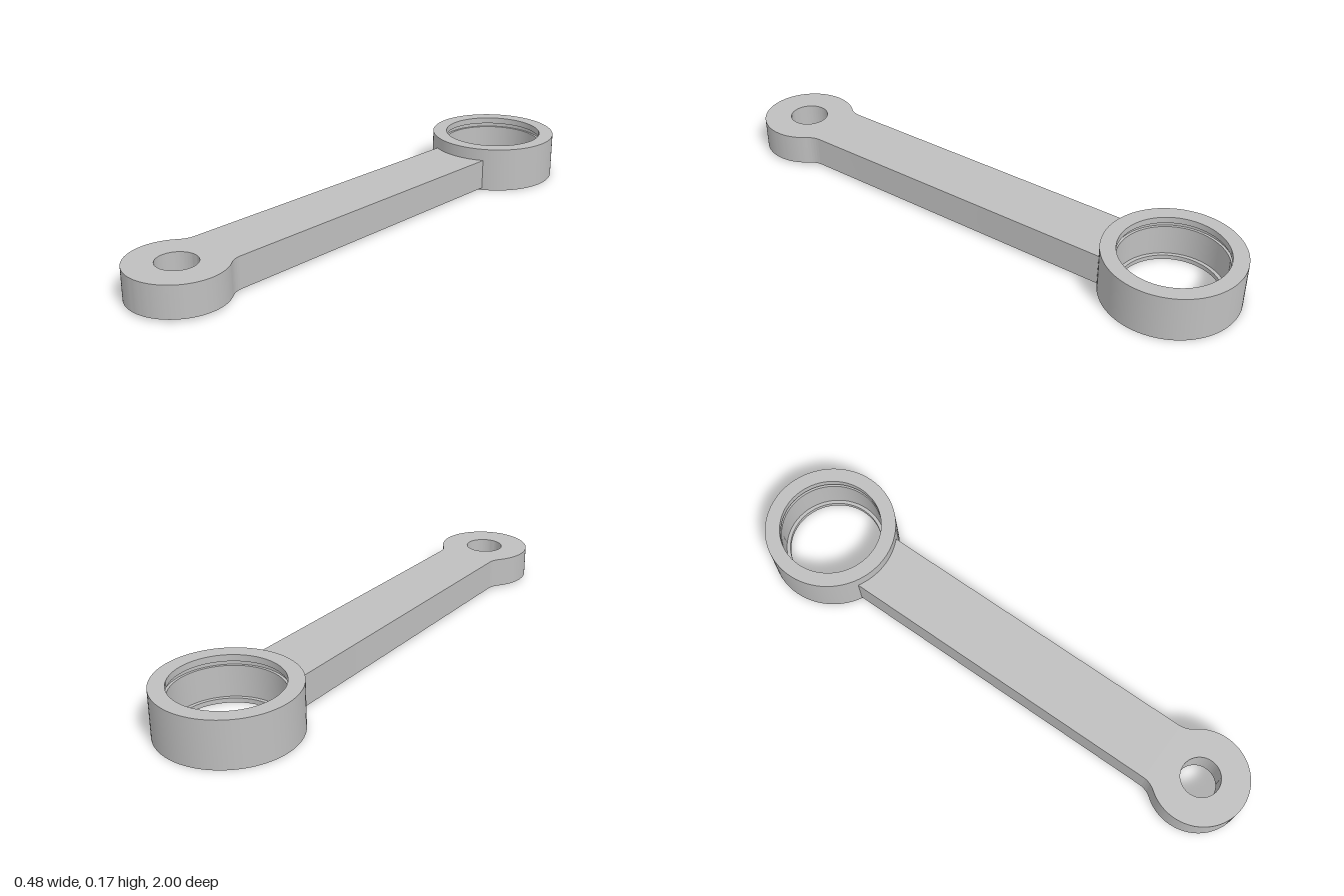
import * as THREE from 'three';
import { toCreasedNormals } from 'three/addons/utils/BufferGeometryUtils.js';

const RING_Z = -0.762, EYE_Z = 0.83;

// Flat arm with a rounded eye, drawn in plan (shape y = -z) and extruded upwards
function armGeometry() {
  const half = 0.113, neck = -0.67, eyeR = 0.17, fillet = 0.083, seatR = 0.22;
  const fx = half + fillet;
  const a = Math.atan2(neck + EYE_Z, fx);
  const endY = -RING_Z - Math.sqrt(seatR * seatR - half * half);
  const e = Math.atan2(endY + RING_Z, half);

  const s = new THREE.Shape();
  s.moveTo(-half, endY);
  s.lineTo(-half, neck);
  s.absarc(-fx, neck, fillet, 0, -a, true);
  s.absarc(0, -EYE_Z, eyeR, Math.PI - a, 2 * Math.PI + a, false);
  s.absarc(fx, neck, fillet, Math.PI + a, Math.PI, true);
  s.lineTo(half, endY);
  // concave end buried in the ring wall
  s.absarc(0, -RING_Z, seatR, e, -Math.PI - e, true);

  const hole = new THREE.Path();
  hole.absarc(0, -EYE_Z, 0.07, 0, Math.PI * 2, true);
  s.holes.push(hole);

  const g = new THREE.ExtrudeGeometry(s, { depth: 0.112, bevelEnabled: false, curveSegments: 48 });
  g.rotateX(-Math.PI / 2).translate(0, 0.008, 0);
  return toCreasedNormals(g, 0.5);
}

// Bearing ring: bottom lip, bore and a retaining groove near the top
function ringGeometry() {
  const profile = [
    [0.172, 0], [0.238, 0], [0.238, 0.165], [0.185, 0.165],
    [0.185, 0.142], [0.194, 0.142], [0.194, 0.127], [0.185, 0.127],
    [0.185, 0.016], [0.172, 0.016], [0.172, 0],
  ].map(([x, y]) => new THREE.Vector2(x, y));
  return toCreasedNormals(new THREE.LatheGeometry(profile, 96), 0.5);
}

export function createModel() {
  const metal = new THREE.MeshStandardMaterial({ color: 0xbfbfbf });
  metal.name = 'grey metal';

  const group = new THREE.Group();
  group.name = 'connectingRod';

  const arm = new THREE.Mesh(armGeometry(), metal);
  arm.name = 'armWithEye';

  const ring = new THREE.Mesh(ringGeometry(), metal);
  ring.name = 'bearingRing';
  ring.position.z = RING_Z;

  group.add(arm, ring);
  return group;
}
